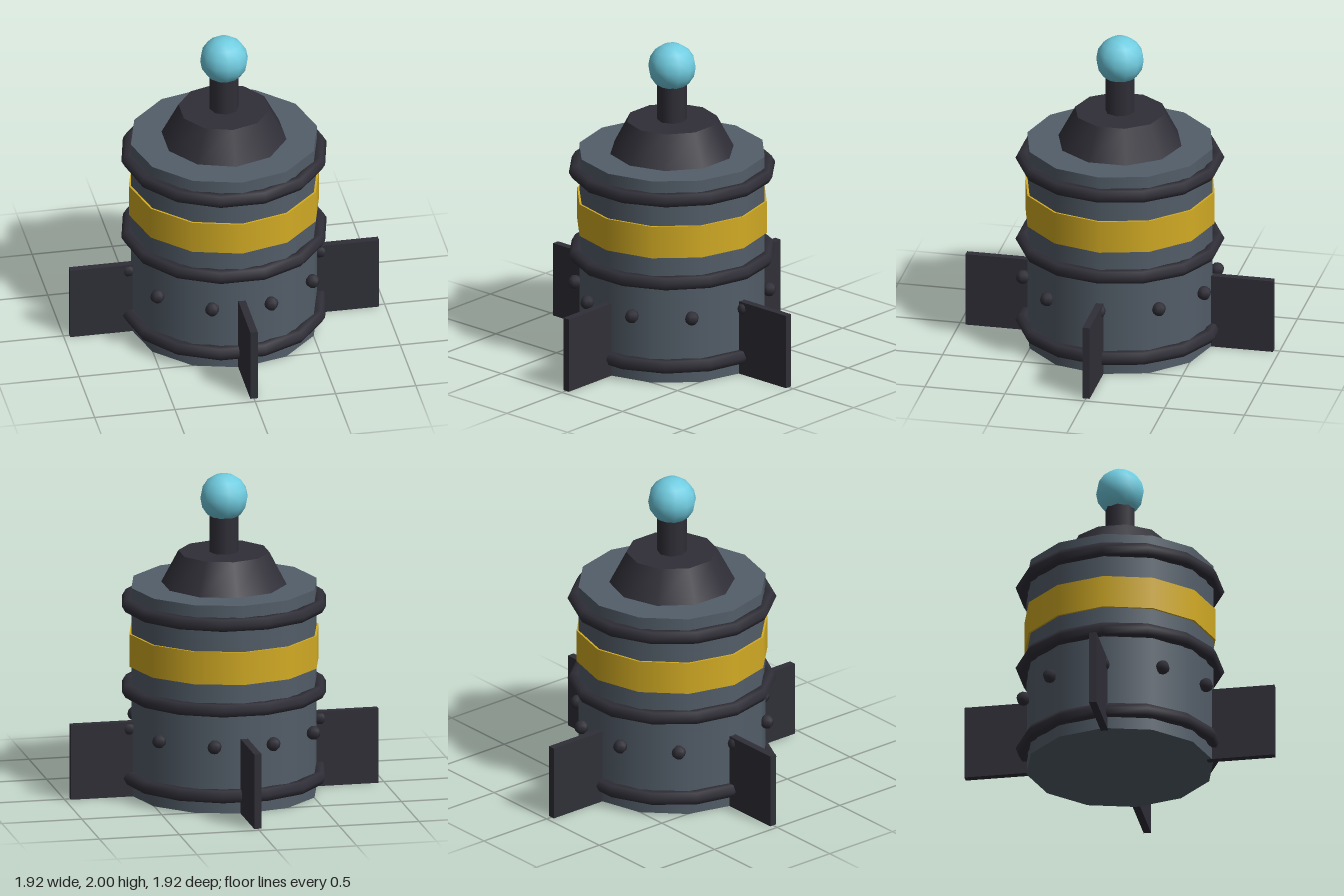
import * as THREE from 'three';

export function createModel() {
  const group = new THREE.Group();
  const material = (name, color) => {
    const m = new THREE.MeshStandardMaterial({ color });
    m.name = name;
    return m;
  };
  const steel = material('slate steel', 0x535e69);
  const iron = material('dark iron', 0x302f38);
  const yellow = material('warning yellow', 0xd2ab24);
  const glow = material('cyan glow', 0x70cce0);

  const add = (name, geometry, mat, x = 0, y = 0, z = 0) => {
    const mesh = new THREE.Mesh(geometry, mat);
    mesh.name = name;
    mesh.position.set(x, y, z);
    group.add(mesh);
    return mesh;
  };

  // Drum and painted band
  add('body', new THREE.CylinderGeometry(0.58, 0.58, 1.31, 12), steel, 0, 0.655, 0);
  add('stripe', new THREE.CylinderGeometry(0.593, 0.593, 0.205, 12), yellow, 0, 0.917, 0);

  // Hoops around the drum
  const hoop = new THREE.TorusGeometry(0.595, 0.044, 6, 14).rotateX(Math.PI / 2);
  for (const y of [0.115, 0.657, 1.197]) add('hoop', hoop, iron, 0, y, 0);

  // Tapered cap, stem and ball
  add('cap', new THREE.CylinderGeometry(0.28, 0.385, 0.2, 10), iron, 0, 1.41, 0);
  add('stem', new THREE.CylinderGeometry(0.091, 0.091, 0.3, 8), iron, 0, 1.64, 0);
  add('ball', new THREE.SphereGeometry(0.148, 12, 8), glow, 0, 1.852, 0);

  // Four upright fins
  const fin = new THREE.BoxGeometry(0.42, 0.47, 0.046);
  for (let i = 0; i < 4; i++) {
    const a = (i * Math.PI) / 2;
    const mesh = add('fin', fin, iron, Math.cos(a) * 0.752, 0.235, -Math.sin(a) * 0.752);
    mesh.rotation.y = a;
  }

  // Ring of rivets
  const rivet = new THREE.SphereGeometry(0.044, 6, 6);
  for (let i = 0; i < 10; i++) {
    const a = (i * Math.PI) / 5;
    add('rivet', rivet, iron, Math.cos(a) * 0.597, 0.425, Math.sin(a) * 0.597);
  }
  return group;
}
